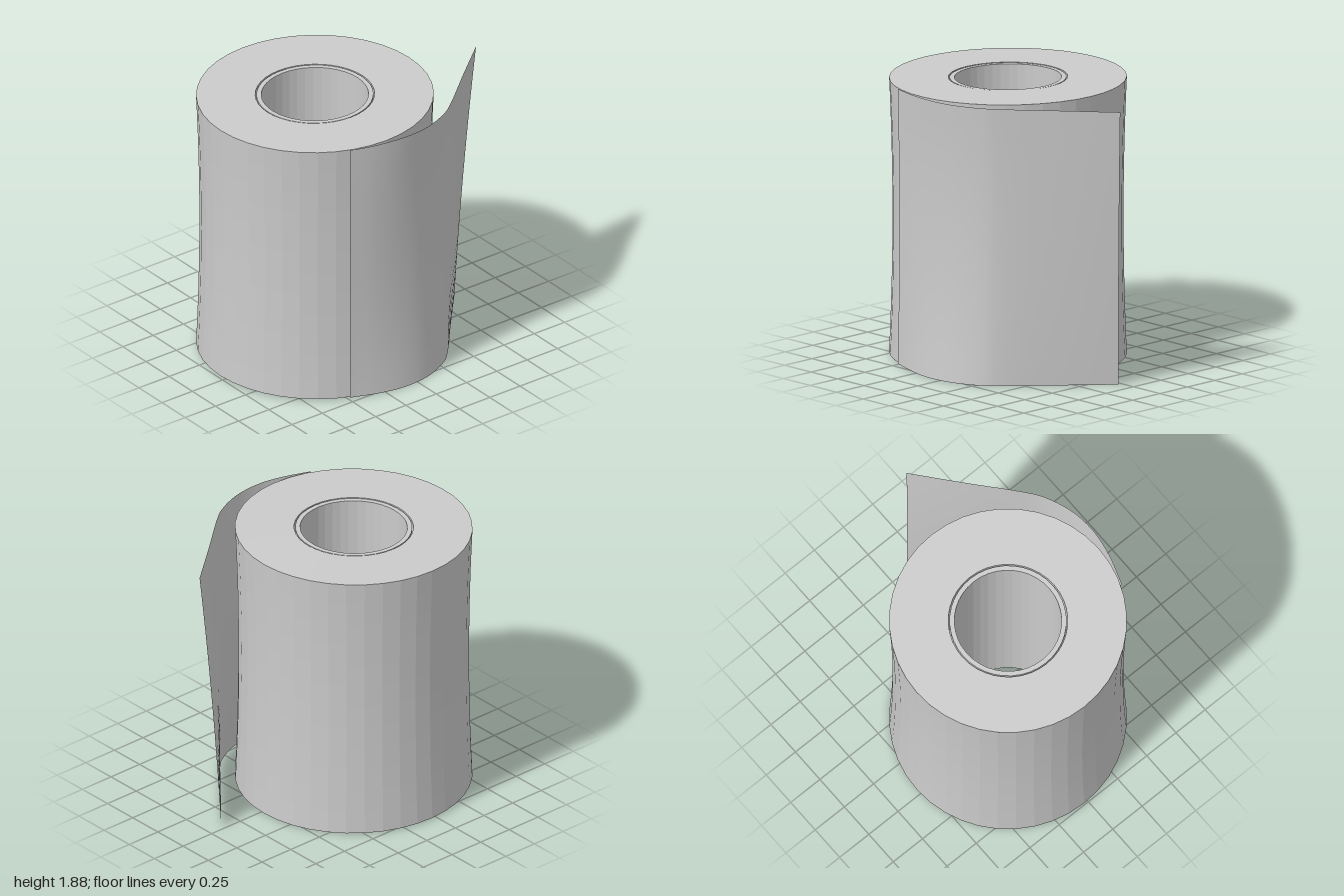
import * as THREE from 'three';

const H = 1.88, CX = -0.03, CZ = 0.215;
const material = new THREE.MeshStandardMaterial({ color: 0xcccccc, flatShading: true });
const sheetMaterial = new THREE.MeshStandardMaterial({ color: 0xcccccc, side: THREE.DoubleSide });

// Ring-shaped solid with an optional waist; its front edge is squeezed slightly in height
function ring(name, inner, outer, waist, inset, segments) {
  const points = [];
  const rows = 12;
  for (let i = 0; i <= rows; i++) {
    const t = i / rows, k = 2 * t - 1;
    points.push(new THREE.Vector2(outer - waist * (1 - k * k), inset + t * (H - 2 * inset)));
  }
  points.push(new THREE.Vector2(inner, H - inset), new THREE.Vector2(inner, inset), points[0].clone());
  const geometry = new THREE.LatheGeometry(points, segments);
  geometry.translate(CX, 0, CZ);
  const p = geometry.attributes.position;
  for (let i = 0; i < p.count; i++) {
    const squeeze = 0.016 * THREE.MathUtils.clamp((p.getZ(i) + 0.5) / 1.5, 0, 1);
    p.setY(i, p.getY(i) + squeeze * (1 - 2 * p.getY(i) / H));
  }
  geometry.computeVertexNormals();
  const mesh = new THREE.Mesh(geometry, material);
  mesh.name = name;
  return mesh;
}

// Smooth horizontal path through [x, z] pairs
const path = (pairs) => new THREE.CatmullRomCurve3(pairs.map(([x, z]) => new THREE.Vector3(x, 0, z)));

// Loose sheet lofted through its bottom, middle and top paths
function looseSheet() {
  const bottom = path([[0.71, 0.49], [0.77, 0.3], [0.8, 0.1], [0.78, -0.1], [0.69, -0.3], [0.61, -0.39], [0.33, -0.63], [0.03, -0.89]]);
  const middle = path([[0.7, 0.485], [0.742, 0.3], [0.757, 0.1], [0.738, -0.1], [0.665, -0.3], [0.59, -0.4], [0.34, -0.66], [0.07, -0.935]]);
  const top = path([[0.71, 0.49], [0.77, 0.3], [0.8, 0.1], [0.78, -0.1], [0.7, -0.3], [0.62, -0.41], [0.38, -0.69], [0.12, -1]]);
  const nu = 28, nv = 14;
  const geometry = new THREE.PlaneGeometry(1, 1, nu, nv);
  const p = geometry.attributes.position;
  for (let i = 0; i < p.count; i++) {
    const u = (i % (nu + 1)) / nu, v = 1 - Math.floor(i / (nu + 1)) / nv;
    const point = bottom.getPoint(u).multiplyScalar((1 - v) * (1 - 2 * v))
      .addScaledVector(middle.getPoint(u), 4 * v * (1 - v))
      .addScaledVector(top.getPoint(u), v * (2 * v - 1));
    // the attached end follows the squeezed rim
    const squeeze = 0.01 * Math.max(0, 1 - u * 4);
    p.setXYZ(i, point.x, v * H + squeeze * (1 - 2 * v), point.z);
  }
  geometry.computeVertexNormals();
  const mesh = new THREE.Mesh(geometry, sheetMaterial);
  mesh.name = 'looseSheet';
  return mesh;
}

export function createModel() {
  const group = new THREE.Group();
  group.name = 'paperRoll';
  group.add(ring('paper', 0.392, 0.78, 0.022, 0, 40));
  // cardboard tube, separated from the paper by a narrow gap
  group.add(ring('core', 0.352, 0.384, 0, 0.002, 40));
  group.add(looseSheet());
  return group;
}
